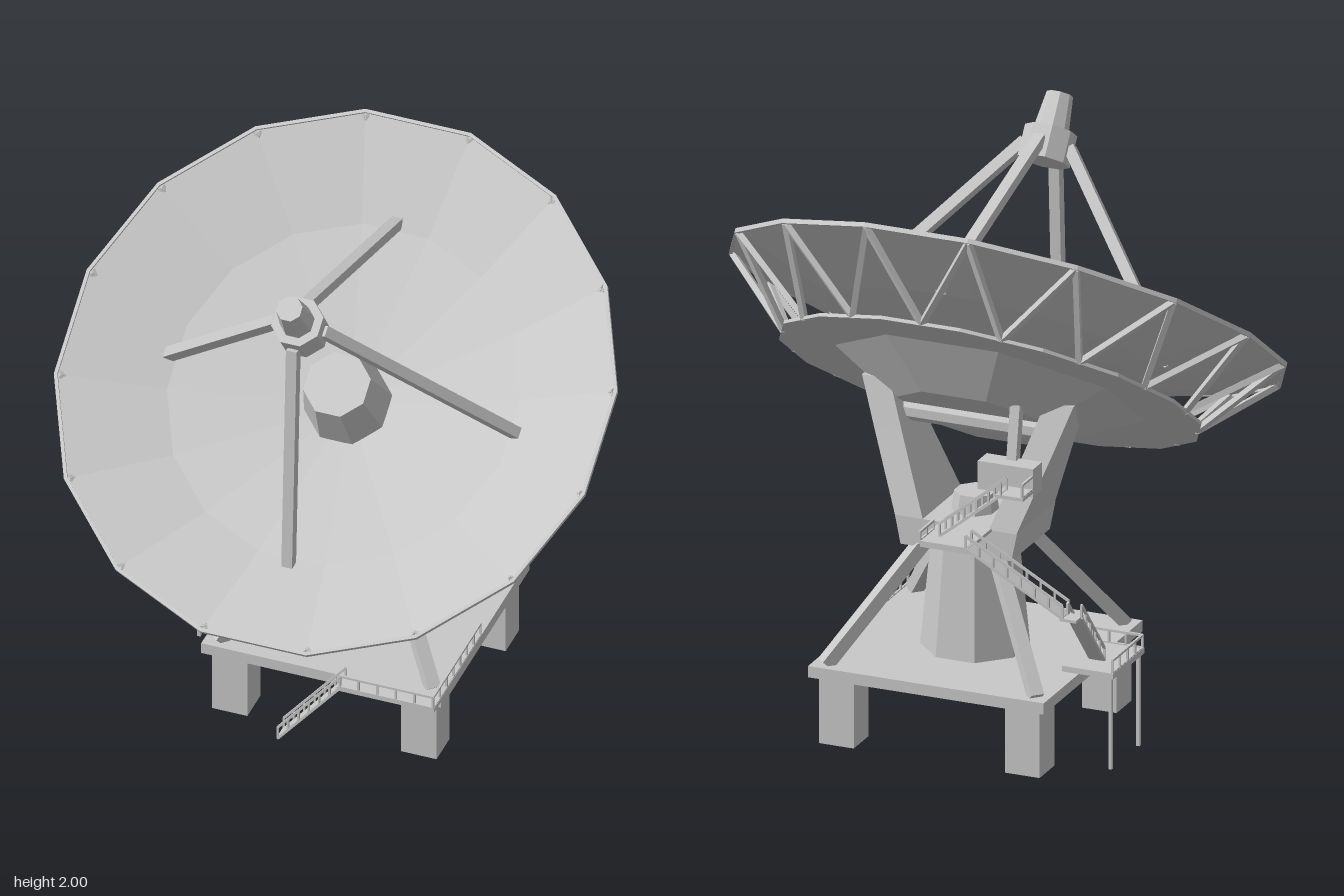
import * as THREE from 'three';

const metal = new THREE.MeshStandardMaterial({ color: 0xc8c8c8, flatShading: true, side: THREE.DoubleSide });
metal.name = 'light grey metal';

const V = (x, y, z) => new THREE.Vector3(x, y, z);

function add(parent, name, geometry, x = 0, y = 0, z = 0) {
  const mesh = new THREE.Mesh(geometry, metal);
  mesh.name = name;
  mesh.position.set(x, y, z);
  parent.add(mesh);
  return mesh;
}

const box = (parent, name, x0, x1, y0, y1, z0, z1) =>
  add(parent, name, new THREE.BoxGeometry(x1 - x0, y1 - y0, z1 - z0), (x0 + x1) / 2, (y0 + y1) / 2, (z0 + z1) / 2);

// Straight rectangular bar between two points
function beam(parent, name, a, b, w = 0.02, h = w) {
  const mesh = new THREE.Mesh(new THREE.BoxGeometry(w, h, a.distanceTo(b)), metal);
  mesh.name = name;
  mesh.position.copy(a).lerp(b, 0.5);
  mesh.lookAt(b);
  parent.add(mesh);
}

// Prism or frustum with a flat side facing +z
const prism = (rTop, rBottom, h, n) => new THREE.CylinderGeometry(rTop, rBottom, h, n, 1, false, Math.PI / n);

// Handrail along a straight line, with posts
function rail(parent, a, b, h = 0.045) {
  const up = V(0, h, 0);
  beam(parent, 'handrail', a.clone().add(up), b.clone().add(up), 0.008);
  beam(parent, 'railFoot', a, b, 0.008);
  const n = Math.max(1, Math.round(a.distanceTo(b) / 0.06));
  for (let i = 0; i <= n; i++) {
    const p = a.clone().lerp(b, i / n);
    beam(parent, 'railPost', p, p.clone().add(up), 0.007);
  }
}

// Stair flight: sloping slab with a handrail on both sides
function stairs(parent, a, b, width) {
  beam(parent, 'stairFlight', a, b, width, 0.01);
  const side = b.clone().sub(a).cross(V(0, 1, 0)).setLength(width / 2);
  for (const s of [-1, 1]) rail(parent, a.clone().addScaledVector(side, s), b.clone().addScaledVector(side, s));
}

// Solid through rectangular sections [y, x0, x1, z0, z1]
function loft(sections) {
  const pos = [], idx = [];
  for (const [y, x0, x1, z0, z1] of sections) pos.push(x0, y, z1, x1, y, z1, x1, y, z0, x0, y, z0);
  const last = (sections.length - 1) * 4;
  for (let k = 0; k < last; k += 4)
    for (let i = 0; i < 4; i++) {
      const a = k + i, b = k + (i + 1) % 4;
      idx.push(a, b, b + 4, a, b + 4, a + 4);
    }
  idx.push(0, 2, 1, 0, 3, 2, last, last + 1, last + 2, last, last + 2, last + 3);
  const g = new THREE.BufferGeometry();
  g.setAttribute('position', new THREE.Float32BufferAttribute(pos, 3));
  g.setIndex(idx);
  g.computeVertexNormals();
  return g;
}

const CZ = -0.275; // centre of the tower in z

function buildBase() {
  const g = new THREE.Group();
  g.name = 'base';
  box(g, 'platform', -0.425, 0.425, 0.24, 0.28, CZ - 0.41, CZ + 0.41);
  for (const sx of [-1, 1])
    for (const sz of [-1, 1]) {
      add(g, 'footing', new THREE.BoxGeometry(0.125, 0.24, 0.122), sx * 0.335, 0.12, CZ + sz * 0.32);
      beam(g, 'towerBrace', V(sx * 0.38, 0.28, CZ + sz * 0.37), V(sx * 0.13, 0.67, CZ + sz * 0.13), 0.045);
    }
  add(g, 'tower', prism(0.145, 0.183, 0.4, 8), 0, 0.47, CZ);
  return g;
}

function buildYoke() {
  const g = new THREE.Group();
  g.name = 'yoke';
  add(g, 'yokeFloor', loft([[0.66, -0.2, 0.2, -0.435, -0.115], [0.76, -0.22, 0.22, -0.435, -0.115]]));
  // Flared side arms
  for (const s of [-1, 1]) {
    const arm = loft([
      [0.76, 0.12, 0.22, -0.435, -0.115],
      [1.03, 0.22, 0.32, -0.375, -0.18],
      [1.2, 0.28, 0.38, -0.34, -0.22],
    ]);
    const mesh = add(g, 'yokeArm', arm);
    if (s < 0) {
      mesh.rotation.y = Math.PI;
      mesh.position.z = 2 * CZ - 0.005;
    }
  }
  add(g, 'bearing', prism(0.07, 0.08, 0.07, 8), 0, 0.79, CZ);
  const axle = add(g, 'axle', prism(0.04, 0.04, 0.56, 8), 0, 1.08, CZ);
  axle.rotation.z = Math.PI / 2;
  beam(g, 'frontStay', V(-0.12, 0.95, 0.02), V(-0.12, 0.8, -0.17), 0.04);
  beam(g, 'driveRod', V(-0.2, 1.2, -0.39), V(-0.2, 0.96, -0.43), 0.035);
  box(g, 'driveBox', -0.3, -0.1, 0.92, 1.02, -0.485, -0.41);
  return g;
}

function buildDish() {
  const g = new THREE.Group();
  g.name = 'dish';
  const N = 16, R = 0.958, r = 0.725, depth = -0.256;
  const at = (radius, angle, y) => V(radius * Math.sin(angle), y, radius * Math.cos(angle));
  const lathe = (pts) => new THREE.LatheGeometry(pts.map(([x, y]) => new THREE.Vector2(x, y)), N, Math.PI / N);

  add(g, 'reflector', lathe([[0, -0.205], [0.14, -0.2], [0.6, -0.122], [R, 0]]));
  add(g, 'rim', lathe([[R - 0.012, -0.012], [R, -0.012], [R, 0.004], [R - 0.012, 0.004], [R - 0.012, -0.012]]));
  add(g, 'backPlate', prism(r, r, 0.012, N), 0, depth, 0);
  add(g, 'backHousing', prism(0.53, 0.303, 0.128, 8), 0, -0.325, 0);
  add(g, 'hub', prism(0.115, 0.15, 0.18, 8), 0, -0.11, 0);

  // Zigzag truss between the rim and the back plate
  const step = Math.PI * 2 / N;
  for (let i = 0; i < N; i++)
    for (const s of [-0.5, 0.5])
      beam(g, 'trussStrut', at(R - 0.015, (i + 0.5) * step, -0.008),
        at(r * Math.cos(step / 2) - 0.01, (i + 0.5 + s) * step, depth), 0.02);

  // Feed head on four struts
  for (let i = 0; i < 4; i++)
    beam(g, 'feedStrut', at(0.08, i * Math.PI / 2, 0.565), at(0.615, i * Math.PI / 2, -0.112), 0.038);
  add(g, 'feedBlock', prism(0.089, 0.089, 0.11, 8), 0, 0.56, 0);
  add(g, 'feedHorn', prism(0.045, 0.06, 0.13, 8), 0, 0.675, 0);

  g.position.y = 1.375;
  g.rotation.x = 0.619;
  return g;
}

function buildAccess() {
  const g = new THREE.Group();
  g.name = 'accessStairs';
  // Front stair and guard rails
  stairs(g, V(-0.13, 0.01, 0.17), V(0.09, 0.275, 0.17), 0.055);
  box(g, 'frontWalkway', 0.08, 0.425, 0.265, 0.28, 0.13, 0.2);
  rail(g, V(0.09, 0.28, 0.197), V(0.42, 0.28, 0.197));
  rail(g, V(0.42, 0.28, 0.197), V(0.42, 0.28, -0.24));
  // Side landing on posts
  box(g, 'sideLanding', -0.595, -0.41, 0.325, 0.345, -0.5, -0.24);
  for (const z of [-0.255, -0.485]) beam(g, 'landingPost', V(-0.58, 0, z), V(-0.58, 0.33, z), 0.012);
  rail(g, V(-0.59, 0.345, -0.245), V(-0.59, 0.345, -0.495));
  rail(g, V(-0.59, 0.345, -0.245), V(-0.41, 0.345, -0.245));
  // Upper flights and landings
  stairs(g, V(-0.495, 0.345, -0.4), V(-0.495, 0.565, -0.59), 0.05);
  box(g, 'middleLanding', -0.52, -0.46, 0.56, 0.57, -0.635, -0.575);
  stairs(g, V(-0.47, 0.57, -0.608), V(-0.12, 0.765, -0.608), 0.052);
  box(g, 'upperLanding', -0.13, 0.05, 0.755, 0.767, -0.635, -0.43);
  rail(g, V(0.045, 0.767, -0.63), V(0.045, 0.767, -0.52), 0.03);
  stairs(g, V(0, 0.767, -0.545), V(-0.22, 0.945, -0.545), 0.05);
  box(g, 'topLanding', -0.3, -0.2, 0.935, 0.947, -0.57, -0.48);
  rail(g, V(-0.295, 0.947, -0.565), V(-0.295, 0.947, -0.485));
  return g;
}

export function createModel() {
  const model = new THREE.Group();
  model.name = 'radioDish';
  model.add(buildBase(), buildYoke(), buildDish(), buildAccess());
  return model;
}
